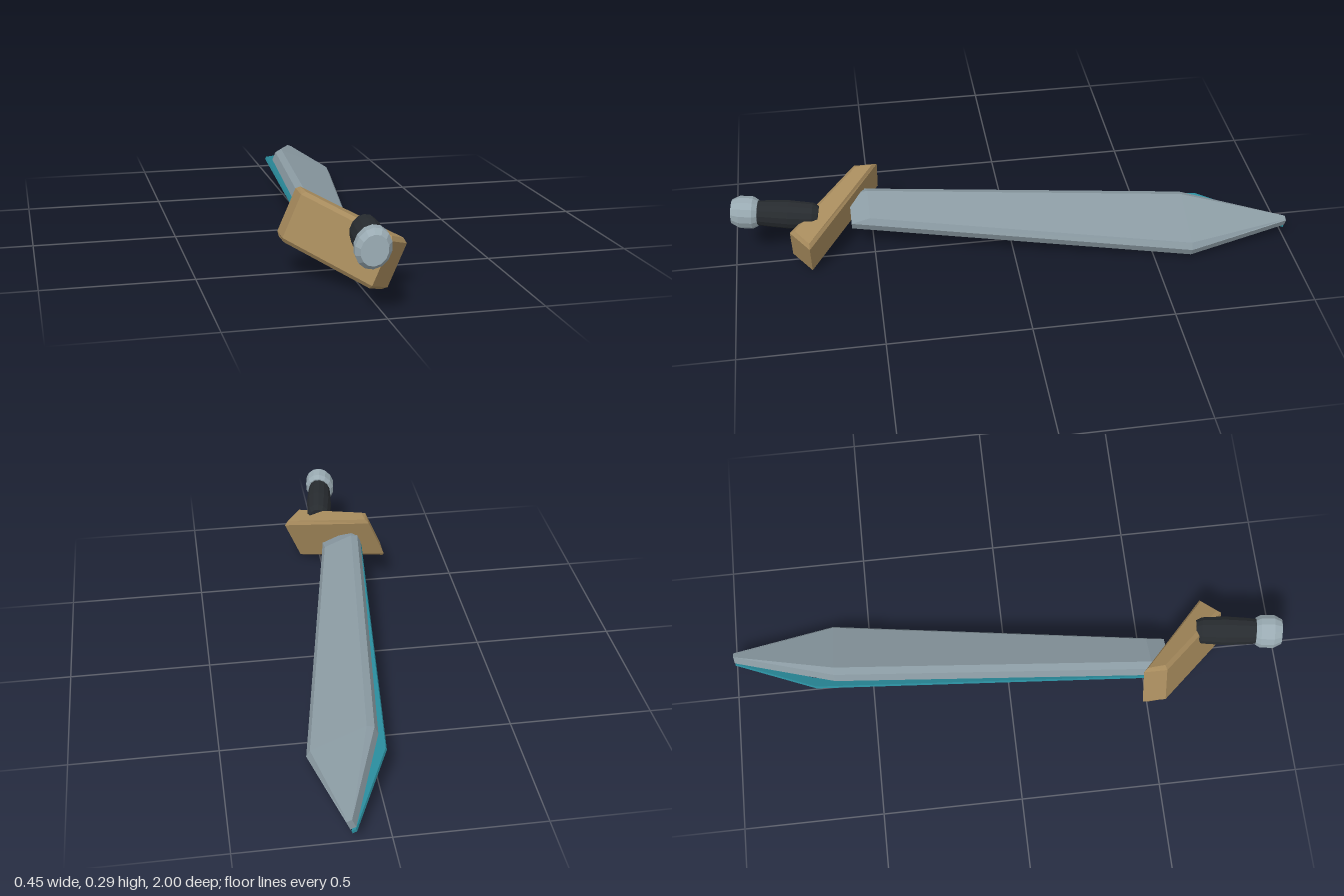
import * as THREE from 'three';

const ROLL = -0.41; // the whole sword lies rolled about its long axis

function part(name, geometry, color) {
  const mesh = new THREE.Mesh(geometry, new THREE.MeshStandardMaterial({ color, flatShading: true }));
  mesh.name = name;
  return mesh;
}

// Skin cross-sections (counter-clockwise [x, y] rings) running from +z to -z
function loft(sections) {
  const n = sections[0].ring.length, pos = [], idx = [];
  for (const { z, ring } of sections) for (const [x, y] of ring) pos.push(x, y, z);
  for (let i = 0; i < sections.length - 1; i++) {
    for (let j = 0; j < n; j++) {
      const a = i * n + j, b = i * n + (j + 1) % n, c = b + n, d = a + n;
      idx.push(a, d, c, a, c, b);
    }
  }
  const e = (sections.length - 1) * n;
  for (let j = 1; j < n - 1; j++) idx.push(0, j, j + 1, e, e + j + 1, e + j);
  const g = new THREE.BufferGeometry();
  g.setAttribute('position', new THREE.Float32BufferAttribute(pos, 3));
  g.setIndex(idx);
  const flat = g.toNonIndexed();
  flat.computeVertexNormals();
  return flat;
}

// Eight-sided blade section: upright edges, bevels, and flats at y0 and y1
function bladeSection(z, left, right, inset, y0, y1) {
  const e0 = 0.101, e1 = 0.134;
  return { z, ring: [
    [left + inset, y0], [right - inset, y0], [right, e0], [right, e1],
    [right - inset, y1], [left + inset, y1], [left, e1], [left, e0],
  ] };
}

// Thin rectangular strip section
function stripSection(z, left, right) {
  return { z, ring: [[left, 0.083], [right, 0.083], [right, 0.093], [left, 0.093]] };
}

// Oval turned part whose axis runs along z, from [radius, z] points
function turned(points) {
  const g = new THREE.LatheGeometry(points.map(([r, y]) => new THREE.Vector2(r, y)), 14);
  g.scale(0.85, 1, 1);
  g.rotateX(Math.PI / 2);
  return g;
}

export function createModel() {
  const model = new THREE.Group();
  model.name = 'sword';
  const sword = new THREE.Group();
  sword.name = 'rolledSword';
  sword.rotation.z = ROLL;
  model.add(sword);

  // Blade widening towards the point, bevelled all round
  sword.add(part('blade', loft([
    bladeSection(0.577, -0.2, -0.053, 0.02, 0.101, 0.134),
    bladeSection(0.51, -0.194, -0.04, 0.02, 0.086, 0.151),
    bladeSection(-0.63, -0.062, 0.184, 0.021, 0.086, 0.151),
    bladeSection(-1, 0.08, 0.1, 0.005, 0.101, 0.134),
  ]), 0x8a9aa2));

  // Coloured strip under one cutting edge
  sword.add(part('edgeStrip', loft([
    stripSection(0.53, -0.193, -0.155),
    stripSection(-0.7, -0.072, -0.03),
    stripSection(-1, 0.085, 0.1),
  ]), 0x2a8c9c));

  // Slanted crossguard with bevelled faces
  const outline = new THREE.Shape([
    [-0.26, 0.55], [-0.26, 0.467], [0.068, 0.73], [-0.007, 0.795],
  ].map(([x, z]) => new THREE.Vector2(x, z)));
  const bevel = 0.013;
  const guard = new THREE.ExtrudeGeometry(outline, {
    depth: 0.18 - 2 * bevel, bevelEnabled: true, bevelSegments: 1,
    bevelThickness: bevel, bevelSize: bevel, bevelOffset: -bevel,
  });
  guard.rotateX(Math.PI / 2);
  guard.translate(0, 0.205 - bevel, 0);
  sword.add(part('crossguard', guard, 0xa68a5c));

  // Grip and pommel share a slightly turned axis
  const hilt = new THREE.Group();
  hilt.name = 'hilt';
  hilt.position.set(-0.122, 0.181, 0.991);
  hilt.rotation.y = -0.165;
  hilt.add(part('grip', turned([
    [0, -0.305], [0.04, -0.305], [0.052, -0.285], [0.057, -0.2],
    [0.053, -0.13], [0.048, -0.08], [0, -0.08],
  ]), 0x272b2f));
  hilt.add(part('pommel', turned([
    [0, -0.092], [0.054, -0.092], [0.065, -0.075], [0.065, -0.028], [0.049, 0], [0, 0],
  ]), 0x9aabb3));
  sword.add(hilt);

  return model;
}
